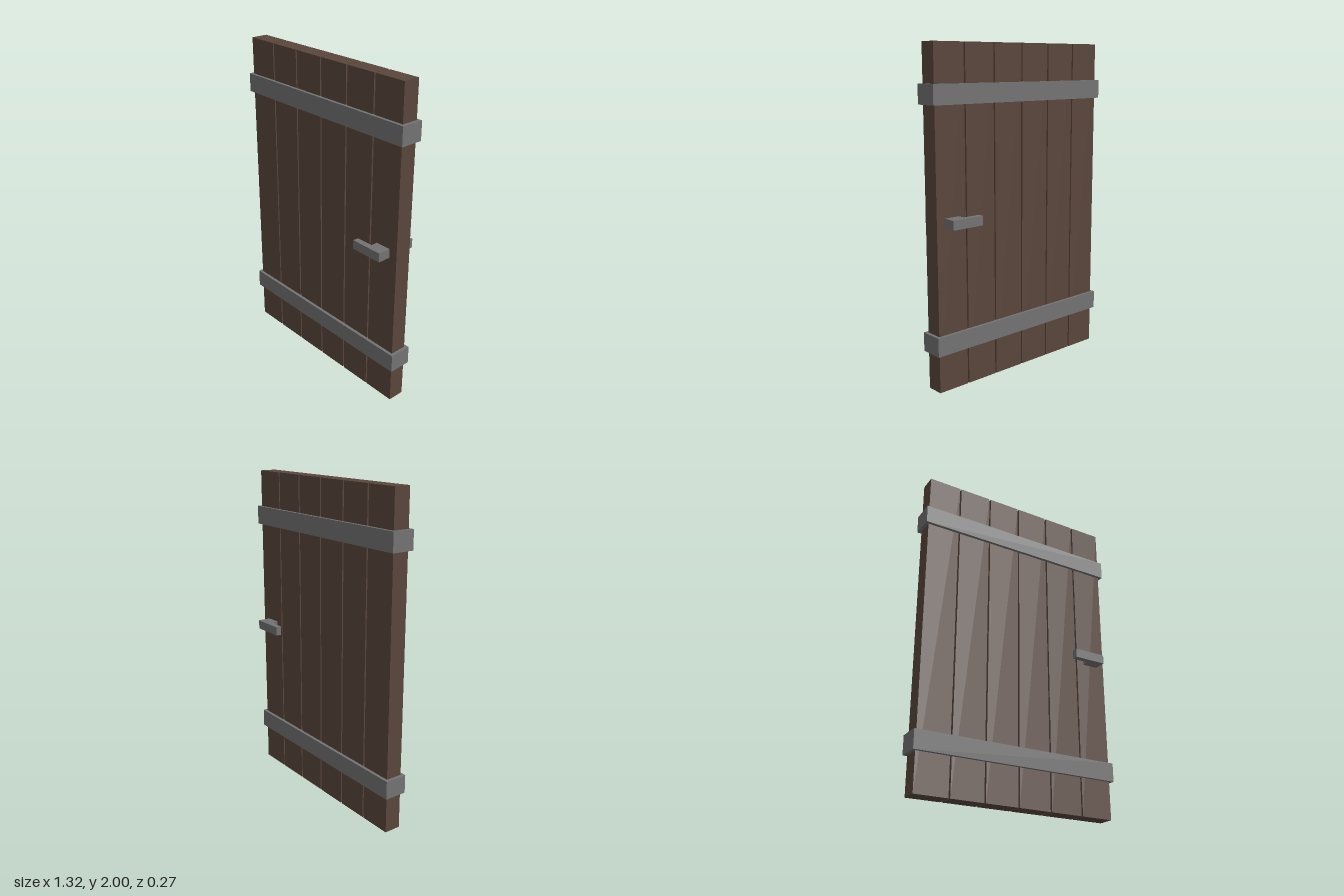
import * as THREE from 'three';

const wood = new THREE.MeshStandardMaterial({ color: 0x5a463c });
const iron = new THREE.MeshStandardMaterial({ color: 0x737373 });

// Box given by its minimum and maximum corners
function box(name, material, [x0, y0, z0], [x1, y1, z1]) {
  const mesh = new THREE.Mesh(new THREE.BoxGeometry(x1 - x0, y1 - y0, z1 - z0), material);
  mesh.position.set((x0 + x1) / 2, (y0 + y1) / 2, (z0 + z1) / 2);
  mesh.name = name;
  return mesh;
}

// L-shaped lever handle: thick root against the door, thin grip pointing inward
function makeHandle(name, side) {
  const shape = new THREE.Shape([
    [0.585, 0.05], [0.585, 0.133], [0.375, 0.133],
    [0.375, 0.096], [0.485, 0.096], [0.485, 0.05],
  ].map(([x, z]) => new THREE.Vector2(x, side * z)));
  const geometry = new THREE.ExtrudeGeometry(shape, { depth: 0.056, bevelEnabled: false });
  geometry.rotateX(Math.PI / 2); // outline lies in x-z, thickness runs down
  const mesh = new THREE.Mesh(geometry, iron);
  mesh.position.y = 1.031;
  mesh.name = name;
  return mesh;
}

export function createModel() {
  const door = new THREE.Group();
  door.name = 'plankDoor';

  // Six upright planks with narrow open gaps
  const count = 6, width = 0.205, pitch = 0.215;
  for (let i = 0; i < count; i++) {
    const x = (i - (count - 1) / 2) * pitch;
    door.add(box(`plank${i + 1}`, wood, [x - width / 2, 0, -0.052], [x + width / 2, 2, 0.052]));
  }

  // Iron bands wrapping the planks
  for (const [name, y] of [['lowerBand', 0.288], ['upperBand', 1.718]]) {
    door.add(box(name, iron, [-0.66, y - 0.057, -0.071], [0.66, y + 0.057, 0.071]));
  }

  // A handle on each face
  door.add(makeHandle('frontHandle', 1), makeHandle('backHandle', -1));
  return door;
}
